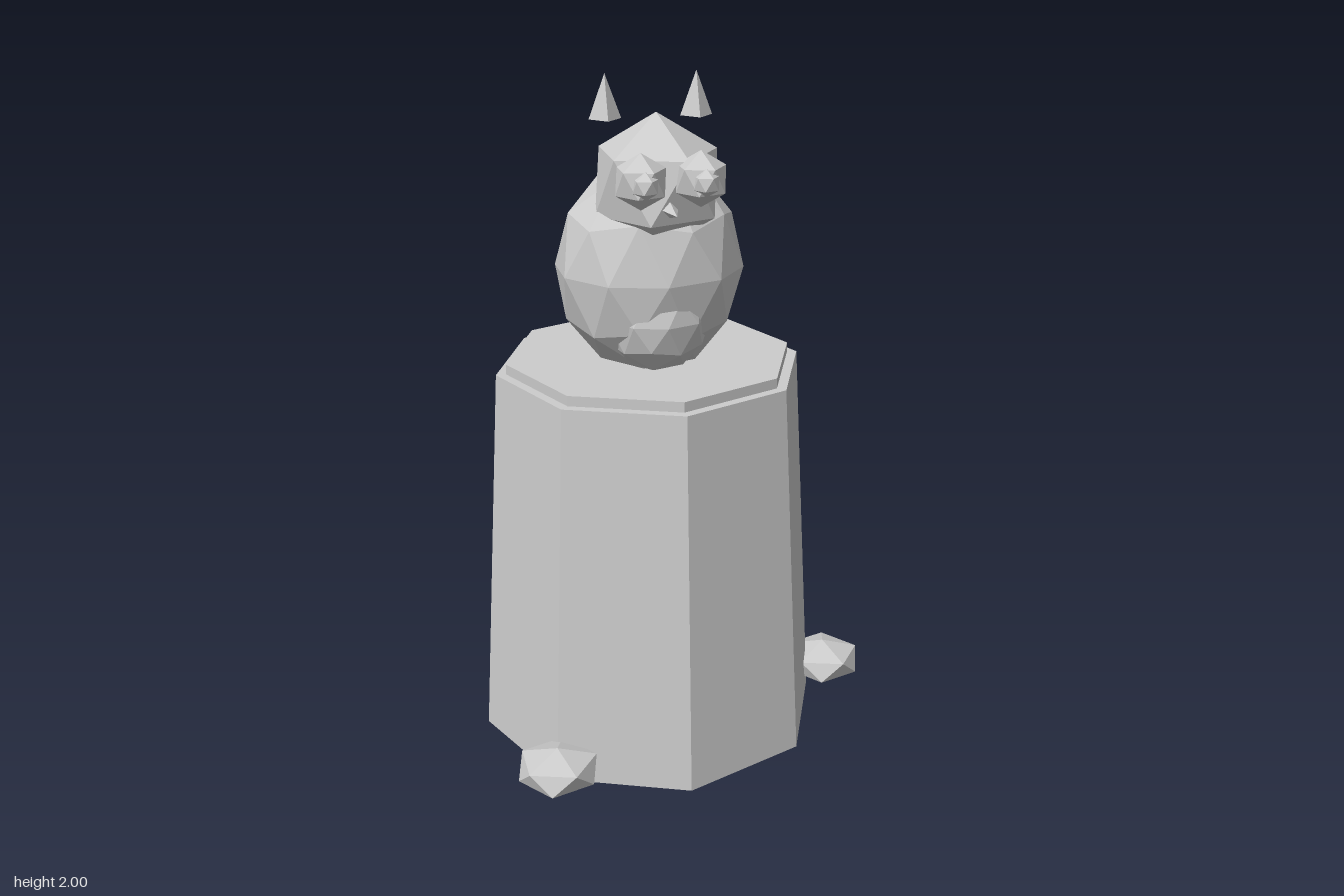
import * as THREE from 'three';

export function createModel() {
  const model = new THREE.Group();
  model.name = 'owlOnStump';
  const stone = new THREE.MeshStandardMaterial({ color: 0xcccccc, flatShading: true });
  stone.name = 'plainGrey';
  const CX = -0.085, CZ = 0.04; // stump axis

  function add(name, geometry, x, y, z, parent = model) {
    const mesh = new THREE.Mesh(geometry, stone);
    mesh.name = name;
    mesh.position.set(x, y, z);
    parent.add(mesh);
    return mesh;
  }

  // Faceted ball with one corner pointing straight up
  function ball(rx, ry, rz, detail = 0) {
    const points = [0, 1, 0];
    for (const [start, y] of [[0, 0.4472], [Math.PI / 5, -0.4472]]) {
      for (let i = 0; i < 5; i++) {
        const a = start + (i * Math.PI * 2) / 5;
        points.push(0.8944 * Math.cos(a), y, 0.8944 * Math.sin(a));
      }
    }
    points.push(0, -1, 0);
    const faces = [];
    for (let i = 0; i < 5; i++) {
      const j = (i + 1) % 5;
      const u = 1 + i, un = 1 + j, l = 6 + i, ln = 6 + j;
      faces.push(0, un, u, u, un, l, l, un, ln, 11, l, ln);
    }
    const geometry = new THREE.PolyhedronGeometry(points, faces, 1, detail);
    geometry.scale(rx, ry, rz);
    geometry.computeVertexNormals();
    return geometry;
  }

  // Tapered stump and its cut top
  add('stump', new THREE.CylinderGeometry(0.455, 0.52, 1.14, 8), CX, 0.57, CZ);
  add('stumpTop', new THREE.CylinderGeometry(0.425, 0.425, 0.04, 8), CX, 1.15, CZ);

  // Flattened mushrooms of rock around the foot
  for (const angle of [0, 2.29, 4.29]) {
    add('footStone', ball(0.128, 0.064, 0.128),
      CX + 0.57 * Math.cos(angle), 0.08, CZ + 0.57 * Math.sin(angle));
  }

  // Owl
  const owl = new THREE.Group();
  owl.name = 'owl';
  model.add(owl);
  add('body', ball(0.275, 0.32, 0.247, 1), CX, 1.44, 0.043, owl);
  add('belly', ball(0.16, 0.17, 0.16, 1), CX, 1.32, 0.125, owl);
  add('head', ball(0.195, 0.195, 0.195), CX, 1.705, 0.138, owl);

  for (const [side, s] of [['left', 1], ['right', -1]]) {
    add(side + 'Ear', new THREE.ConeGeometry(0.046, 0.125, 4), CX + s * 0.13, 1.9375, 0.075, owl);
    add(side + 'Eye', ball(0.078, 0.078, 0.078), CX + s * 0.083, 1.747, 0.31, owl);
    add(side + 'Pupil', ball(0.039, 0.039, 0.039), CX + s * 0.083, 1.747, 0.367, owl);
  }

  // Beak points forward
  const beak = new THREE.ConeGeometry(0.022, 0.08, 4);
  beak.rotateX(Math.PI / 2);
  add('beak', beak, CX, 1.663, 0.34, owl);

  return model;
}
